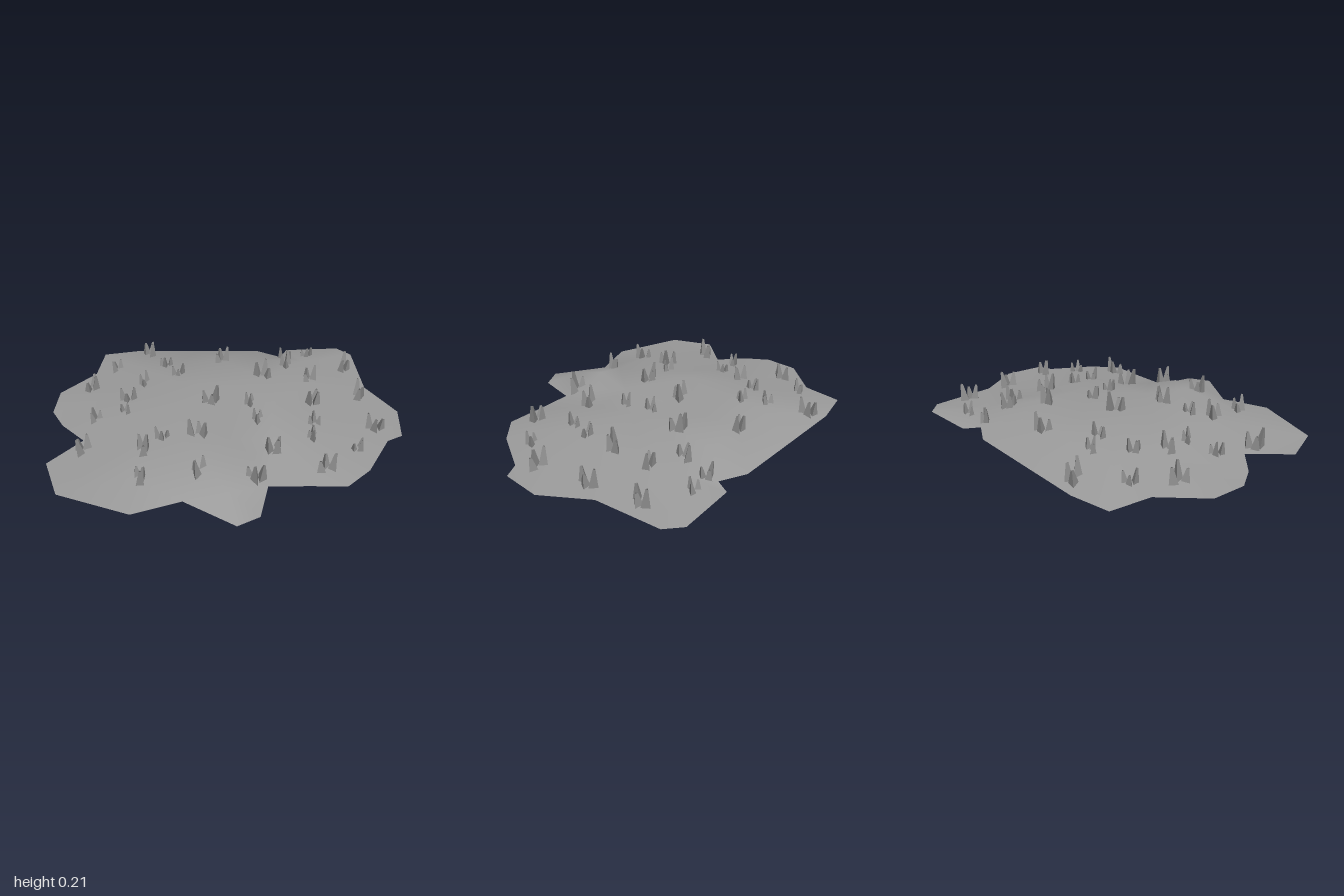
import * as THREE from 'three';
import { mergeVertices } from 'three/addons/utils/BufferGeometryUtils.js';

// Rim of the ground patch (x, z); the rim lies at RIM_Y
const RIM_Y = 0.01;
const rim = [
  [-0.74, -0.77], [-0.52, -0.80], [-0.13, -0.775], [0.25, -0.75], [0.39, -0.67], [0.44, -0.75],
  [0.77, -0.75], [0.85, -0.67], [0.86, -0.30], [1.0, -0.05], [0.97, 0.17], [0.88, 0.21],
  [0.73, 0.44], [0.59, 0.555], [0.39, 0.54], [0.18, 0.53], [0.12, 0.74], [0, 0.795],
  [-0.26, 0.61], [-0.52, 0.685], [-0.90, 0.52], [-0.98, 0.28], [-0.80, 0.10], [-0.93, -0.04],
  [-1.0, -0.17], [-0.98, -0.36], [-0.78, -0.55],
];

// Heights of the inner ground: rows along z, columns along x
const cols = [-0.52, -0.26, 0, 0.25, 0.51];
const rows = [
  [-0.54, [0.06, 0.085, 0.085, 0.08, 0.055]],
  [-0.29, [0.055, 0.1, 0.075, 0.115, 0.05]],
  [-0.04, [0.075, 0.125, 0.08, 0.11, 0.05]],
  [0.22, [0.06, 0.085, 0.075, 0.065, 0.045]],
];
// Front hill with its slope to the rim, and low side points
const extra = [
  [-0.15, 0.39, 0.11], [-0.03, 0.43, 0.115], [0.11, 0.36, 0.075], [-0.03, 0.61, 0.062],
  [-0.5, 0.45, 0.045], [0.5, 0.4, 0.035],
];

// Grass tufts: x, z, size
const tufts = [
  [-0.46, -0.71, 1], [-0.64, -0.55, 0.75], [-0.34, -0.53, 0.75], [0.01, -0.53, 0.9],
  [0.41, -0.61, 0.75], [0.55, -0.65, 0.75], [0.41, -0.47, 0.9], [0.75, -0.50, 1],
  [-0.80, -0.38, 1], [-0.46, -0.35, 0.75], [-0.27, -0.41, 0.75], [0.23, -0.31, 1],
  [0.53, -0.34, 0.9], [-0.56, -0.22, 0.9], [-0.73, -0.04, 0.75], [-0.58, -0.07, 0.7],
  [-0.09, -0.12, 1], [0.15, -0.07, 0.75], [0.50, -0.13, 1], [0.78, -0.20, 1],
  [0.18, 0.08, 0.75], [-0.36, 0.17, 0.75], [-0.17, 0.19, 1], [0.49, 0.09, 0.75],
  [0.83, 0.09, 1], [-0.78, 0.20, 1], [-0.48, 0.27, 1], [0.23, 0.28, 1],
  [0.47, 0.20, 0.75], [0.69, 0.27, 0.75], [-0.49, 0.47, 0.9], [-0.16, 0.47, 0.9],
  [0.12, 0.48, 1], [0.50, 0.45, 1],
];

const insideRim = (x, z) => {
  let inside = false;
  rim.forEach(([ax, az], i) => {
    const [bx, bz] = rim[(i + 1) % rim.length];
    if ((az > z) !== (bz > z) && x < ax + ((bx - ax) * (z - az)) / (bz - az)) inside = !inside;
  });
  return inside;
};

const cross = (a, b, x, z) => (b[0] - a[0]) * (z - a[1]) - (b[1] - a[1]) * (x - a[0]);

// Empty-circle triangulation of [x, z, y] points, kept inside the rim
function triangulate(pts) {
  const tris = [];
  const n = pts.length;
  for (let i = 0; i < n; i++) for (let j = i + 1; j < n; j++) for (let k = j + 1; k < n; k++) {
    const [a, b, c] = [pts[i], pts[j], pts[k]];
    const area = cross(a, b, c[0], c[1]);
    if (Math.abs(area) < 1e-5) continue;
    if (!insideRim((a[0] + b[0] + c[0]) / 3, (a[1] + b[1] + c[1]) / 3)) continue;
    const bx = b[0] - a[0], bz = b[1] - a[1], cx = c[0] - a[0], cz = c[1] - a[1];
    const bb = bx * bx + bz * bz, cc = cx * cx + cz * cz;
    const ux = (cz * bb - bz * cc) / (2 * area), uz = (bx * cc - cx * bb) / (2 * area);
    const r2 = ux * ux + uz * uz - 1e-9;
    const empty = pts.every((p, m) => m === i || m === j || m === k ||
      (p[0] - a[0] - ux) ** 2 + (p[1] - a[1] - uz) ** 2 > r2);
    if (empty) tris.push(area > 0 ? [a, c, b] : [a, b, c]);
  }
  return tris;
}

// Ground height under a point
function heightAt(tris, x, z) {
  for (const [a, b, c] of tris) {
    const area = cross(a, b, c[0], c[1]);
    const u = cross(b, c, x, z) / area, v = cross(c, a, x, z) / area, w = 1 - u - v;
    if (u >= 0 && v >= 0 && w >= 0) return u * a[2] + v * b[2] + w * c[2];
  }
  return RIM_Y;
}

export function createModel() {
  const group = new THREE.Group();
  const groundMaterial = new THREE.MeshStandardMaterial({ color: 0x9c9c9c, side: THREE.DoubleSide });
  const bladeMaterial = new THREE.MeshStandardMaterial({
    color: 0x8e8e8e, flatShading: true, side: THREE.DoubleSide,
  });

  // Ground: a thin, softly shaded, hilly sheet
  const points = rim.map(([x, z]) => [x, z, RIM_Y]);
  rows.forEach(([z, heights], r) => heights.forEach((y, c) => {
    // a slight shift keeps the grid from being perfectly regular
    points.push([cols[c] + 0.004 * Math.sin(r * 5 + c * 3), z + 0.004 * Math.cos(r * 3 + c * 7), y]);
  }));
  points.push(...extra);
  const tris = triangulate(points);
  const sheet = new THREE.BufferGeometry();
  sheet.setAttribute('position', new THREE.Float32BufferAttribute(
    tris.flat().flatMap(([x, z, y]) => [x, y, z]), 3));
  const groundGeo = mergeVertices(sheet);
  groundGeo.computeVertexNormals();
  const ground = new THREE.Mesh(groundGeo, groundMaterial);
  ground.name = 'ground';
  group.add(ground);

  // Blade: an open three-sided spike standing on its base
  const bladeGeo = new THREE.CylinderGeometry(0.008, 0.03, 0.115, 3, 1, true);
  bladeGeo.translate(0, 0.0575, 0);

  // Tufts: three blades in a half ring, leaning outwards
  tufts.forEach(([x, z, size], i) => {
    const tuft = new THREE.Group();
    tuft.name = 'grassTuft';
    for (let k = -1; k <= 1; k++) {
      const arm = new THREE.Group();
      arm.rotation.y = k * 1.3;
      const blade = new THREE.Mesh(bladeGeo, bladeMaterial);
      blade.name = 'blade';
      blade.position.set(0.032, 0, 0);
      blade.rotation.z = -0.12;
      blade.scale.y = 1 - 0.15 * ((i + k + 1) % 3);
      arm.add(blade);
      tuft.add(arm);
    }
    tuft.position.set(x, Math.max(0.004, heightAt(tris, x, z) - 0.015), z);
    tuft.rotation.y = 0.6 + 2.4 * Math.sin(i * 2.3);
    tuft.scale.setScalar(size);
    group.add(tuft);
  });

  return group;
}
